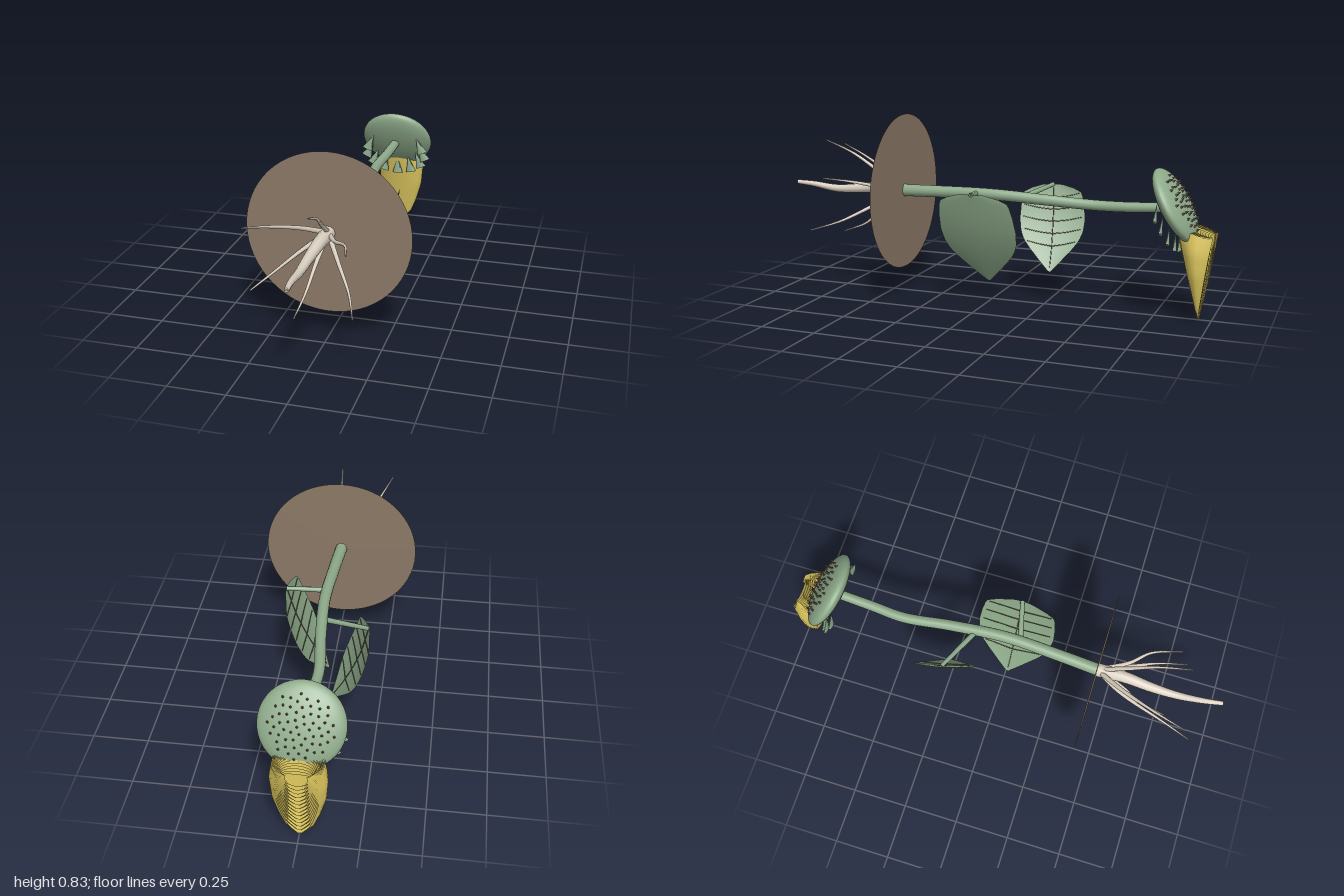
import * as THREE from 'three';

const mat = (name, color, side = THREE.FrontSide) => {
  const m = new THREE.MeshStandardMaterial({ color, side });
  m.name = name;
  return m;
};
const V = (x, y, z) => new THREE.Vector3(x, y, z);
const lerp = THREE.MathUtils.lerp;

// Tube along a curve whose radius runs from r0 to r1, closed at both ends
function taperTube(points, r0, r1, rings = 24, sides = 10) {
  const curve = new THREE.CatmullRomCurve3(points);
  const g = new THREE.TubeGeometry(curve, rings, 1, sides);
  const p = g.attributes.position, v = V(0, 0, 0);
  for (let i = 0; i <= rings; i++) {
    const c = curve.getPointAt(i / rings);
    const r = lerp(r0, r1, i / rings);
    for (let j = 0; j <= sides; j++) {
      const k = i * (sides + 1) + j;
      v.fromBufferAttribute(p, k).sub(c).multiplyScalar(r).add(c);
      p.setXYZ(k, v.x, v.y, v.z);
    }
  }
  const index = Array.from(g.index.array);
  for (let j = 1; j < sides - 1; j++) {
    const e = rings * (sides + 1);
    index.push(0, j, j + 1, e, e + j + 1, e + j);
  }
  g.setIndex(index);
  return g;
}

// Sheet from a rule f(u, v), with u along the length and v from -1 to 1 across
function sheet(f, nu, nv) {
  const g = new THREE.PlaneGeometry(1, 1, nv, nu), p = g.attributes.position;
  for (let i = 0; i < p.count; i++) {
    const q = f(0.5 - p.getY(i), p.getX(i) * 2);
    p.setXYZ(i, q.x, q.y, q.z);
  }
  g.computeVertexNormals();
  return g;
}

// Piecewise linear lookup in [position, value] pairs
function profile(pairs, u) {
  for (let i = 1; i < pairs.length; i++) {
    const [a, b] = [pairs[i - 1], pairs[i]];
    if (u <= b[0]) return lerp(a[1], b[1], (u - a[0]) / (b[0] - a[0]));
  }
  return pairs[pairs.length - 1][1];
}

export function createModel() {
  const model = new THREE.Group();
  const D = THREE.DoubleSide;
  const soil = mat('soil brown', 0x8b7967, D);
  const stemGreen = mat('stem green', 0x8eaa8a);
  const leafGreen = mat('leaf green', 0x89a585, D);
  const veinBrown = mat('vein brown', 0x6f6253);
  const rootCream = mat('root cream', 0xdcd1c2);
  const petalYellow = mat('petal yellow', 0xe0ca60, D);
  const seedBrown = mat('seed brown', 0x765c48);

  const add = (name, geo, material, parent = model) => {
    const m = new THREE.Mesh(geo, material);
    m.name = name;
    parent.add(m);
    return m;
  };

  // Soil disc and stem
  add('soilDisc', new THREE.CircleGeometry(0.358, 64), soil).position.set(0, 0.475, 0.434);
  add('stem', taperTube([V(0, 0.478, 0.445), V(0.012, 0.485, 0.25), V(0.022, 0.49, 0), V(0.006, 0.478, -0.25),
    V(-0.017, 0.465, -0.47), V(-0.008, 0.468, -0.62), V(0, 0.48, -0.81)], 0.028, 0.022, 40, 14), stemGreen);

  // Taproot and six bent side roots
  add('taproot', taperTube([V(0, 0.478, 0.435), V(0, 0.485, 0.56), V(-0.006, 0.472, 0.68), V(-0.006, 0.465, 0.8),
    V(0, 0.48, 0.92), V(0.011, 0.487, 1)], 0.032, 0.01), rootCream);
  const rootTips = [[-0.21, 0.65, 0.86], [0.04, 0.7, 0.82], [0.17, 0.54, 0.77],
    [-0.17, 0.415, 0.9], [-0.04, 0.25, 0.78], [0.21, 0.3, 0.82]];
  rootTips.forEach(([x, y, z]) => {
    const at = (k, zz) => V(x * k, 0.478 + (y - 0.478) * k, zz);
    add('sideRoot', taperTube([at(0.03, 0.44), at(0.38, 0.56), at(0.76, z - 0.13), at(1, z)], 0.012, 0.003, 20, 7), rootCream);
  });

  // Leaves hang from their stalks and slope back under the stem
  const outline = [[0, 0.3], [0.03, 0.6], [0.09, 0.9], [0.25, 0.97], [0.41, 1], [0.55, 0.95], [0.65, 0.84],
    [0.74, 0.66], [0.88, 0.33], [1, 0.03]];
  function leaf(name, root, top, tip, half, twist) {
    const group = new THREE.Group();
    group.name = name;
    model.add(group);
    const side = Math.sign(top.x);
    const f = (u, v) => {
      const w = half * profile(outline, u);
      const q = top.clone().lerp(tip, u);
      q.x += side * (0.025 * Math.sin(Math.PI * u) - 0.1 * v * v * w) + twist * v * w;
      q.z += v * w;
      return q;
    };
    add('leafBlade', sheet(f, 24, 12), leafGreen, group);
    add('leafStalk', taperTube([root, root.clone().lerp(top, 0.5), top], 0.013, 0.01, 8, 8), stemGreen, group);
    // Veins stand on the inner face only
    const vein = (uv) => add('leafVein', taperTube(uv.map(([u, v]) => {
      const q = f(u, v);
      q.x -= side * 0.0025;
      return q;
    }), 0.0025, 0.0018, 14, 5), veinBrown, group);
    vein([[0.04, 0], [0.35, 0], [0.7, 0], [0.95, 0]]);
    for (let i = 0; i < 5; i++) for (const s of [-1, 1]) {
      const u = 0.16 + i * 0.14;
      vein([[u, 0], [u - 0.02, s * 0.45], [u - 0.06, s * 0.9]]);
    }
  }
  leaf('leftLeaf', V(0.02, 0.49, 0.07), V(0.2, 0.515, 0.025), V(0.004, 0.085, 0.015), 0.18, 0);
  leaf('rightLeaf', V(0, 0.48, -0.14), V(-0.2, 0.515, -0.225), V(-0.04, 0.14, -0.26), 0.145, 0.25);

  // Flower head, tilted up and back
  const head = new THREE.Group();
  head.name = 'flowerHead';
  head.position.set(0, 0.49, -0.832);
  head.rotation.x = -1.05;
  head.updateMatrix();
  model.add(head);
  add('headDisc', new THREE.SphereGeometry(0.178, 40, 24), stemGreen, head).scale.y = 0.29;

  // Seeds in a spiral
  const seedGeo = new THREE.ConeGeometry(0.0065, 0.018, 6);
  for (let i = 0; i < 60; i++) {
    const r = 0.135 * Math.sqrt((i + 0.5) / 60), a = i * 2.39996;
    const y = 0.0516 * Math.sqrt(1 - (r / 0.178) ** 2);
    add('seed', seedGeo, seedBrown, head).position.set(r * Math.cos(a), y + 0.006, r * Math.sin(a));
  }

  // Drooping pointed sepals around the underside of the head
  const sepalGeo = new THREE.ConeGeometry(0.027, 0.085, 8);
  sepalGeo.scale(1, -1, 0.3).rotateZ(Math.PI).scale(1, -1, 1).rotateX(Math.PI).translate(0, -0.03, 0);
  for (let i = 0; i <= 8; i++) {
    const a = Math.PI * lerp(-1.12, 0.12, i / 8), c = Math.cos(a), s = Math.sin(a);
    const sepal = add('sepal', sepalGeo, stemGreen);
    sepal.position.set(0.125 * c, -0.042, 0.115 * s).applyMatrix4(head.matrix);
    sepal.rotation.z = 0.45 * c;
  }

  // Nested drooping petals, each wrapped round the shorter one behind it
  const petalWidth = [[0, 0.88], [0.2, 1], [0.45, 0.94], [0.69, 0.72], [0.86, 0.5], [0.96, 0.22], [1, 0.08]];
  const count = 14, wrap = 2.3;
  const backEdge = (y) => -0.945 - 0.14 * y;
  for (let i = 0; i < count; i++) {
    const t = i / (count - 1);
    const top = V(0, lerp(0.42, 0.375, t), lerp(-0.835, -0.985, t));
    const tip = V(0, 0.31 * t, backEdge(0.31 * t));
    const half = lerp(0.118, 0.06, t);
    add('petal', sheet((u, v) => {
      const q = top.clone().lerp(tip, u);
      const around = (1 - Math.cos(v * wrap)) / (1 - Math.cos(wrap));
      q.x = half * profile(petalWidth, u) * Math.sin(v * wrap);
      q.z = lerp(q.z, Math.min(q.z, backEdge(q.y)), around);
      q.y -= 0.05 * (1 - u) * (1 - t) * around;
      return q;
    }, 14, 14), petalYellow);
  }
  return model;
}
